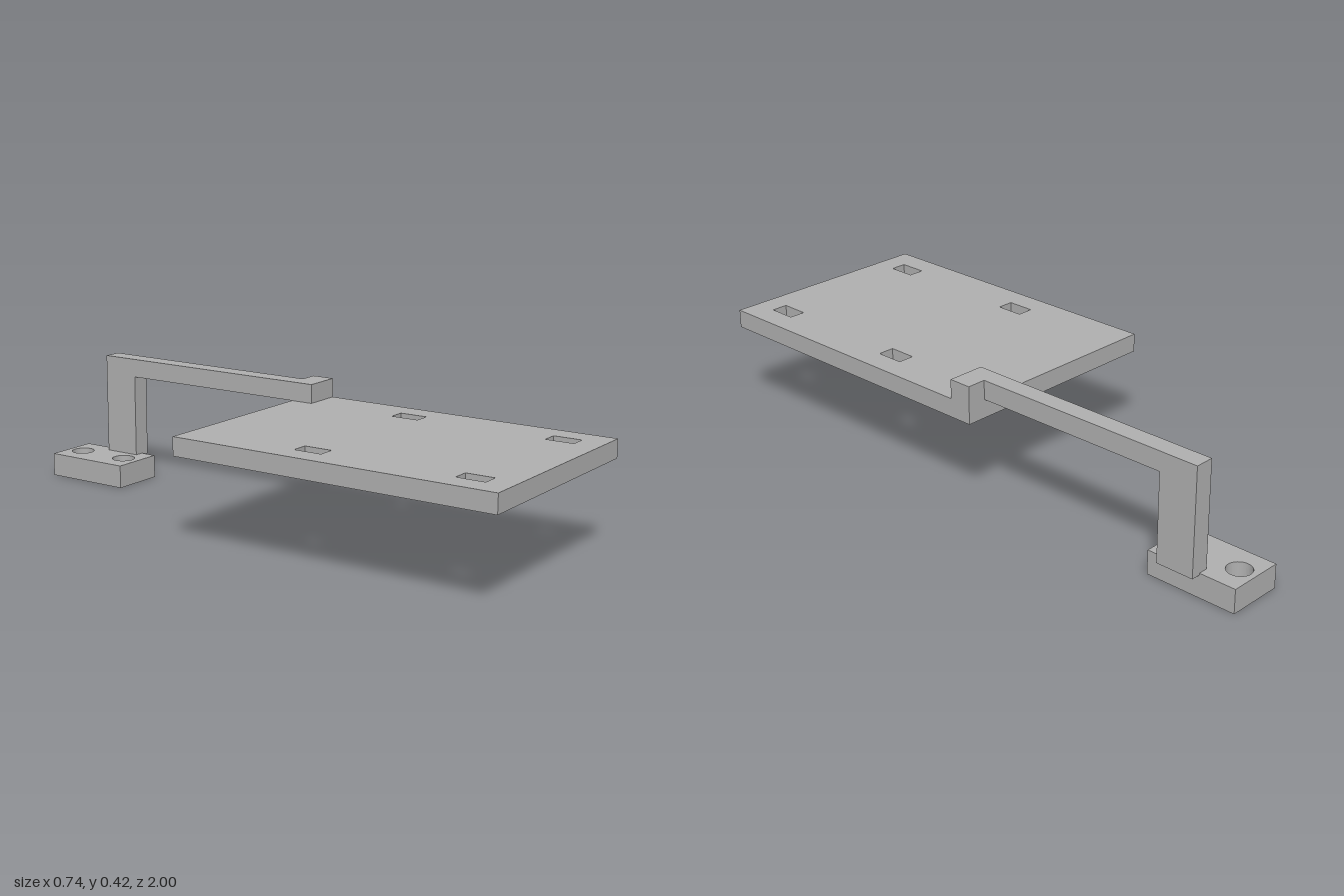
import * as THREE from 'three';

// Closed path from corner points
const pts = (list) => list.map(([x, y]) => new THREE.Vector2(x, y));
const rect = (x0, y0, x1, y1) => pts([[x0, y0], [x1, y0], [x1, y1], [x0, y1]]);

// Horizontal slab: outline in x/z, filling y from bottom to top
function slab(outline, holes, bottom, top) {
  const shape = new THREE.Shape(outline);
  shape.holes.push(...holes);
  const geometry = new THREE.ExtrudeGeometry(shape, {
    depth: top - bottom, bevelEnabled: false, curveSegments: 24,
  });
  return geometry.rotateX(Math.PI / 2).translate(0, top, 0);
}

export function createModel() {
  const model = new THREE.Group();
  model.name = 'bracket';
  const grey = new THREE.MeshStandardMaterial({ color: 0xb0b0b0 });
  grey.name = 'grey';
  const add = (name, geometry) => {
    const mesh = new THREE.Mesh(geometry, grey);
    mesh.name = name;
    model.add(mesh);
  };

  // Mounting plate with four rectangular slots
  const slots = [];
  for (const x of [-0.267, 0.267]) {
    for (const z of [0.347, 0.875]) {
      slots.push(new THREE.Path(rect(x - 0.027, z - 0.046, x + 0.027, z + 0.046)));
    }
  }
  add('plate', slab(rect(-0.372, -0.084, 0.372, 1), slots, 0.297, 0.357));

  // Joint block on the plate's rear corner, beside the arm
  const joint = new THREE.BoxGeometry(0.063, 0.062, 0.076);
  joint.translate(0.3405, 0.388, -0.046);
  add('jointBlock', joint);

  // L-shaped arm and post: profile in (-z, y), extruded along x
  const profile = new THREE.Shape(pts([
    [0.008, 0.357], [0.75, 0.357], [0.75, 0.072],
    [0.877, 0.072], [0.877, 0.419], [0.008, 0.419],
  ]));
  const arm = new THREE.ExtrudeGeometry(profile, { depth: 0.062, bevelEnabled: false });
  arm.rotateY(Math.PI / 2).translate(0.247, 0, 0);
  add('arm', arm);

  // Foot with two round bolt holes
  const bolts = [-0.943, -0.756].map((z) =>
    new THREE.Path().absarc(0.185, z, 0.039, 0, Math.PI * 2, true));
  add('foot', slab(rect(0.093, -1, 0.278, -0.693), bolts, 0, 0.078));

  return model;
}
